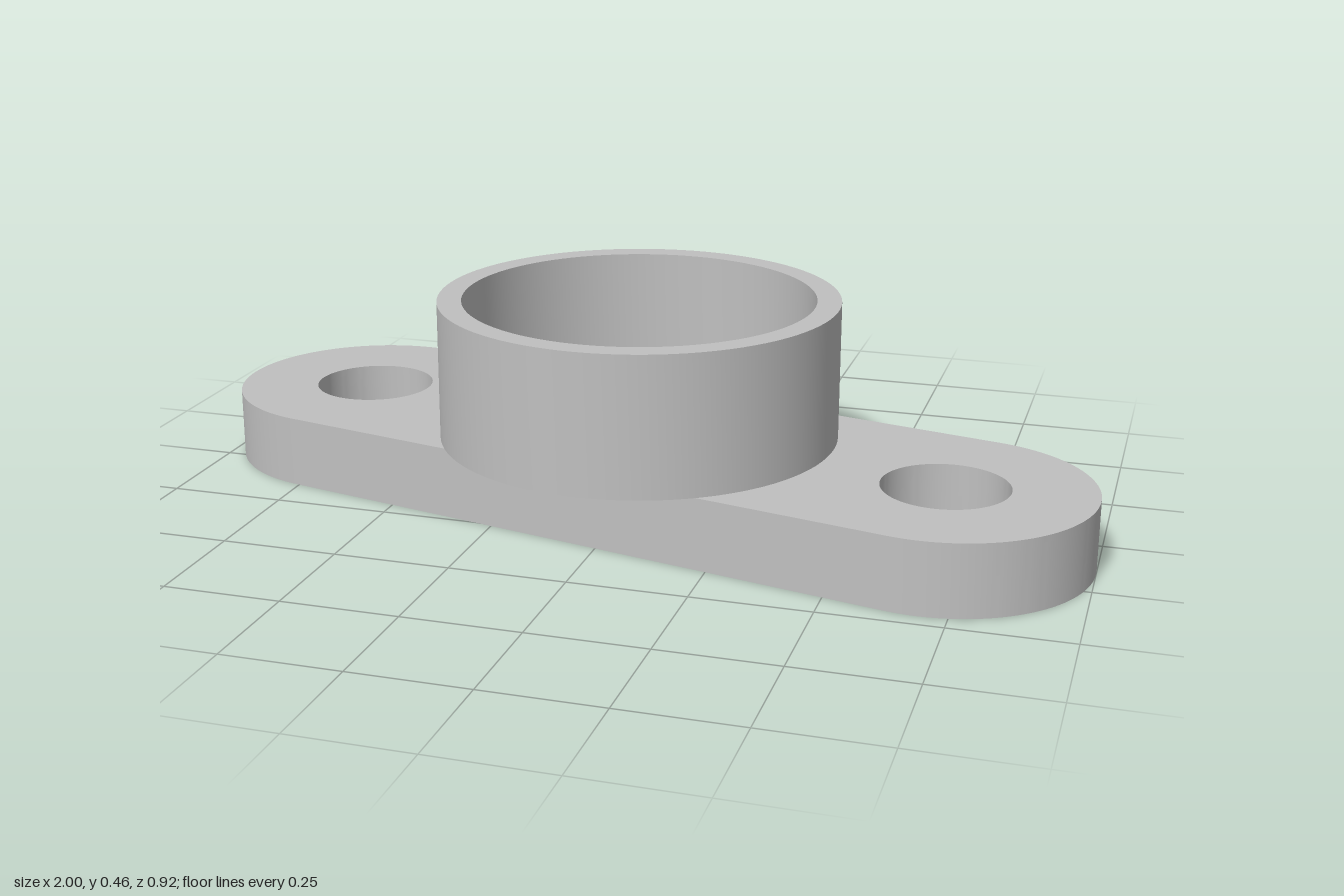
import * as THREE from 'three';
import { toCreasedNormals } from 'three/addons/utils/BufferGeometryUtils.js';

const PLATE_HEIGHT = 0.154;
const RING_HEIGHT = 0.301;
const END_X = 0.692, END_Z = 0.154, END_RADIUS = 0.308;

function circleHole(x, y, radius) {
  return new THREE.Path().absarc(x, y, radius, 0, Math.PI * 2, true);
}

// Extrude an outline upward, with smooth curves and sharp rims
function extrudeUp(shape, height) {
  const geometry = new THREE.ExtrudeGeometry(shape, { depth: height, bevelEnabled: false, curveSegments: 48 });
  geometry.rotateX(-Math.PI / 2);
  return toCreasedNormals(geometry, 0.5);
}

export function createModel() {
  const group = new THREE.Group();
  group.name = 'flangeBracket';
  const metal = new THREE.MeshStandardMaterial({ color: 0xc0c0c0 });
  metal.name = 'light grey metal';

  // Slanted plate with round ends, two bolt holes and a central bore
  const angle = Math.atan2(-END_Z, END_X);
  const outline = new THREE.Shape();
  outline.absarc(END_X, -END_Z, END_RADIUS, angle - Math.PI / 2, angle + Math.PI / 2, false);
  outline.absarc(-END_X, END_Z, END_RADIUS, angle + Math.PI / 2, angle + Math.PI * 1.5, false);
  outline.closePath();
  outline.holes.push(circleHole(0, 0, 0.177));
  for (const side of [-1, 1]) outline.holes.push(circleHole(side * END_X, -side * END_Z, 0.133));
  const plate = new THREE.Mesh(extrudeUp(outline, PLATE_HEIGHT), metal);
  plate.name = 'basePlate';
  group.add(plate);

  // Thin-walled collar standing on the plate and overhanging its long edges
  const annulus = new THREE.Shape().absarc(0, 0, 0.431, 0, Math.PI * 2, false);
  annulus.holes.push(circleHole(0, 0, 0.379));
  const collar = new THREE.Mesh(extrudeUp(annulus, RING_HEIGHT), metal);
  collar.name = 'collar';
  collar.position.y = PLATE_HEIGHT;
  group.add(collar);

  return group;
}
